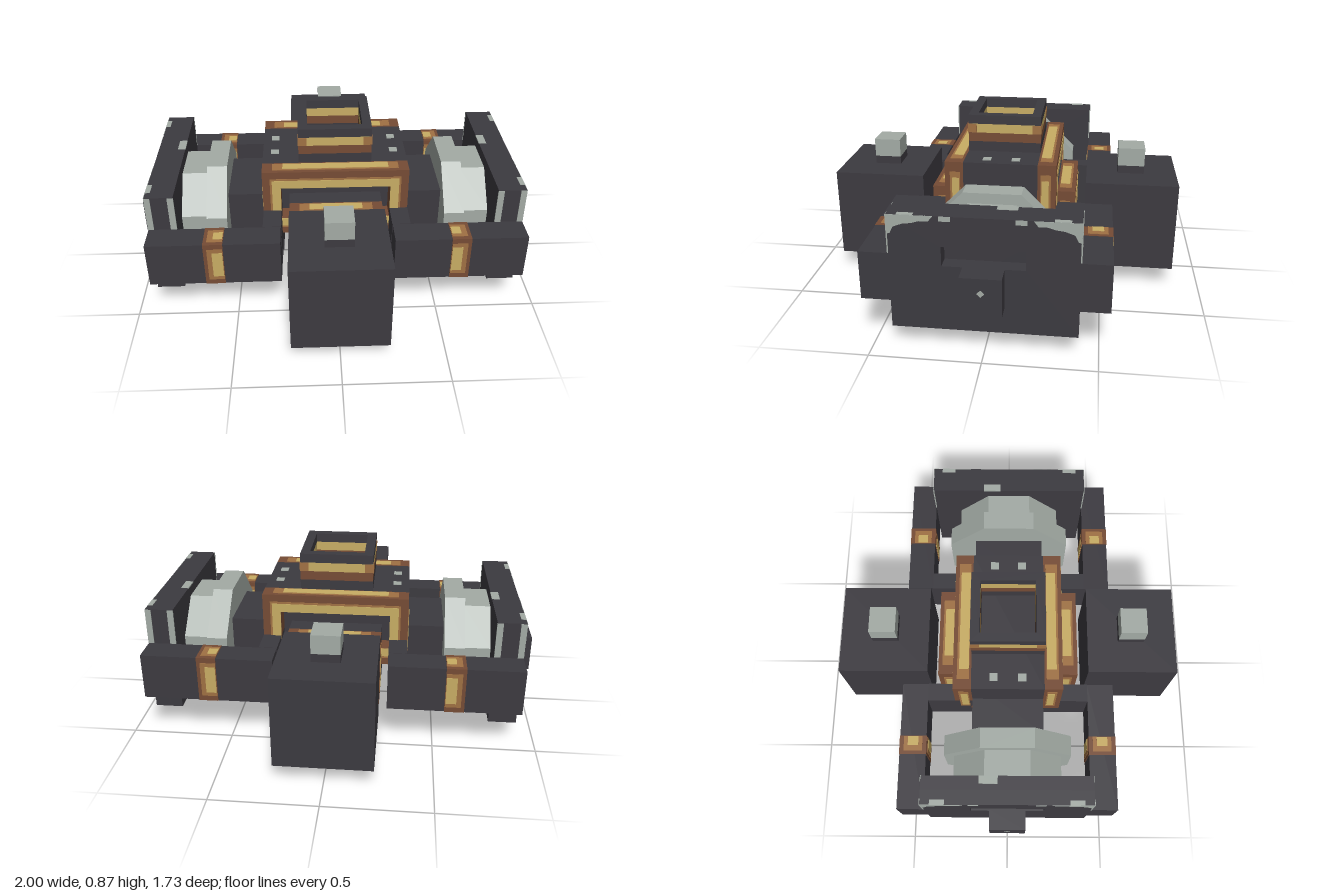
import * as THREE from 'three';

const mat = (name, color) => {
  const m = new THREE.MeshStandardMaterial({ color });
  m.name = name;
  return m;
};

export function createModel() {
  const dark = mat('dark iron', 0x3c3a40);
  const grey = mat('worn steel', 0xa3aba5);
  const brown = mat('brown copper', 0x764c35);
  const bronze = mat('bronze', 0xa07143);
  const gold = mat('brass', 0xc8ad64);

  const root = new THREE.Group();
  root.name = 'wheelTruck';

  const add = (parent, name, geo, m) => {
    const mesh = new THREE.Mesh(geo, m);
    mesh.name = name;
    parent.add(mesh);
    return mesh;
  };
  // box given by its lower and upper limits on each axis
  const box = (parent, name, m, x0, x1, y0, y1, z0, z1) => {
    const mesh = add(parent, name, new THREE.BoxGeometry(x1 - x0, y1 - y0, z1 - z0), m);
    mesh.position.set((x0 + x1) / 2, (y0 + y1) / 2, (z0 + z1) / 2);
    return mesh;
  };
  const rect = (Type, x0, x1, y0, y1) => new Type([
    [x0, y0], [x1, y0], [x1, y1], [x0, y1],
  ].map(([x, y]) => new THREE.Vector2(x, y)));
  // rectangular ring, wall t, extruded from z = 0 to depth
  const ring = (hw, hh, t, depth) => {
    const s = rect(THREE.Shape, -hw, hw, -hh, hh);
    s.holes.push(rect(THREE.Path, -hw + t, hw - t, -hh + t, hh - t));
    return new THREE.ExtrudeGeometry(s, { depth, bevelEnabled: false });
  };

  // central boiler and the firebox below it
  box(root, 'boiler', dark, -0.36, 0.36, 0.32, 0.68, -0.18, 0.18);
  box(root, 'firebox', dark, -0.23, 0.23, 0.14, 0.5, -0.27, 0.27);
  for (const x of [-0.3, 0.3]) for (const z of [-0.07, 0.07])
    box(root, 'rivet', grey, x - 0.02, x + 0.02, 0.68, 0.684, z - 0.02, z + 0.02);

  // copper end frame with brass inlay, centred on x = 0
  const endFrame = (parent, name, hw, cy, z) => {
    const g = new THREE.Group();
    g.name = name;
    g.position.set(0, cy, z);
    parent.add(g);
    add(g, 'copperFrame', ring(hw, 0.18, 0.09, 0.09), brown);
    add(g, 'bronzeInlay', ring(hw - 0.037, 0.143, 0.053, 0.003), bronze).position.z = 0.089;
    add(g, 'brassInlay', ring(hw - 0.047, 0.133, 0.043, 0.005), gold).position.z = 0.089;
    for (const s of [-1, 1]) {
      const y = s * 0.18;
      box(g, 'bronzeStrip', bronze, -hw + 0.05, hw - 0.05, y - 0.002, y + 0.002, 0.01, 0.07);
      box(g, 'brassStrip', gold, -hw + 0.1, hw - 0.1, y - 0.004, y + 0.004, 0.012, 0.06);
      const x = s * hw;
      box(g, 'sideStrip', bronze, x - 0.002, x + 0.002, -0.13, 0.13, 0.015, 0.065);
      box(g, 'sideBrass', gold, x - 0.004, x + 0.004, -0.1, 0.1, 0.02, 0.055);
    }
  };

  // front and back halves: end frames and buffer blocks
  for (const turn of [0, Math.PI]) {
    const end = new THREE.Group();
    end.name = turn ? 'backEnd' : 'frontEnd';
    end.rotation.y = turn;
    root.add(end);
    endFrame(end, 'boilerFrame', 0.36, 0.5, 0.18);
    endFrame(end, 'fireboxFrame', 0.23, 0.32, 0.27);
    box(end, 'bufferBlock', dark, -0.23, 0.23, 0.1, 0.55, 0.41, 0.863);
    box(end, 'capBase', dark, -0.067, 0.067, 0.55, 0.59, 0.567, 0.7);
    box(end, 'cap', grey, -0.067, 0.067, 0.59, 0.682, 0.567, 0.7);
  }

  // square open chimney in stacked bands
  const bands = [[0.68, 0.73, dark], [0.73, 0.775, brown], [0.775, 0.82, gold], [0.82, 0.865, dark]];
  for (const [y0, y1, m] of bands) {
    const b = add(root, 'chimneyBand', ring(0.18, 0.18, 0.045, y1 - y0), m);
    b.rotation.x = -Math.PI / 2;
    b.position.y = y0;
  }
  for (const x of [-0.161, 0.161]) for (const z of [-0.161, 0.161])
    box(root, 'chimneyCorner', bronze, x - 0.022, x + 0.022, 0.776, 0.819, z - 0.022, z + 0.022);

  // octagonal wheel disc with flat top and bottom
  const disc = (parent, name, r, x0, x1) => {
    const geo = new THREE.CylinderGeometry(r / Math.cos(Math.PI / 8), r / Math.cos(Math.PI / 8), x1 - x0, 8)
      .toNonIndexed();
    geo.rotateY(Math.PI / 8);
    geo.rotateZ(Math.PI / 2);
    geo.computeVertexNormals();
    add(parent, name, geo, grey).position.set((x0 + x1) / 2, 0.32, 0);
  };

  // worn corner patch on the outer face of a side panel (u along z, v up)
  const wear = [[0.41, 0.64], [0.41, 0.55], [0.395, 0.555], [0.38, 0.585], [0.34, 0.6],
    [0.3, 0.605], [0.27, 0.615], [0.23, 0.615], [0.21, 0.64]];

  // each side is built facing +x and turned for the other side
  for (const turn of [0, Math.PI]) {
    const side = new THREE.Group();
    side.name = turn ? 'rightSide' : 'leftSide';
    side.rotation.y = turn;
    root.add(side);

    box(side, 'axleHousing', dark, 0.27, 0.54, 0.14, 0.5, -0.18, 0.18);
    disc(side, 'wheelFlange', 0.32, 0.54, 0.64);
    disc(side, 'wheelTread', 0.27, 0.64, 0.77);
    box(side, 'innerBeam', dark, 0.27, 0.36, 0.23, 0.46, -0.41, 0.41);

    // outer panel with a slot above the axle end
    const s = rect(THREE.Shape, -0.41, 0.41, 0.1, 0.64);
    s.holes.push(rect(THREE.Path, -0.18, 0.18, 0.41, 0.5));
    const panel = new THREE.ExtrudeGeometry(s, { depth: 0.07, bevelEnabled: false });
    panel.rotateY(Math.PI / 2);
    add(side, 'sidePanel', panel, dark).position.x = 0.838;
    box(side, 'panelBack', dark, 0.772, 0.838, 0.1, 0.64, -0.41, 0.41);
    box(side, 'axleEnd', dark, 0.9, 1, 0.23, 0.41, -0.09, 0.09);
    const stud = box(side, 'axleStud', grey, 0.996, 1.001, 0.328, 0.352, -0.012, 0.012);
    stud.rotation.x = Math.PI / 4;

    for (const e of [-1, 1]) {
      // cross bar with its copper collar
      const z0 = e > 0 ? 0.41 : -0.543, z1 = z0 + 0.133;
      box(side, 'crossBar', dark, 0.272, 0.908, 0.23, 0.458, z0, z1);
      box(side, 'collar', brown, 0.543, 0.637, 0.228, 0.46, z0 - 0.002, z1 + 0.002);
      box(side, 'collarBronze', bronze, 0.545, 0.62, 0.255, 0.433, z0 - 0.004, z1 + 0.004);
      box(side, 'collarBrass', gold, 0.547, 0.597, 0.275, 0.413, z0 - 0.006, z1 + 0.006);
      box(side, 'collarTop', bronze, 0.545, 0.62, 0.226, 0.462, z0 + 0.02, z1 - 0.02);
      box(side, 'collarTopBrass', gold, 0.547, 0.592, 0.224, 0.464, z0 + 0.04, z1 - 0.04);

      // worn paint on panel corners and edges
      const w = new THREE.Shape(wear.map(([u, v]) => new THREE.Vector2(e * u, v)));
      const patch = new THREE.ExtrudeGeometry(w, { depth: 0.003, bevelEnabled: false });
      patch.rotateY(Math.PI / 2);
      add(side, 'wornCorner', patch, grey).position.x = 0.907;
      box(side, 'wornChip', grey, 0.907, 0.91, 0.618, 0.64, e * 0.16 - 0.025, e * 0.16 + 0.025);
      box(side, 'wornOuterEdge', grey, 0.88, 0.909, 0.46, 0.638, e * 0.41 - 0.003, e * 0.41 + 0.003);
      box(side, 'wornInnerEdge', grey, 0.77, 0.8, 0.46, 0.638, e * 0.41 - 0.003, e * 0.41 + 0.003);
      box(side, 'wornTopOuter', grey, 0.885, 0.909, 0.636, 0.642, e * 0.33 - 0.035, e * 0.33 + 0.035);
    }
    const c = turn ? 0.09 : -0.09;
    box(side, 'wornTopInner', grey, 0.771, 0.81, 0.636, 0.642, c - 0.045, c + 0.045);
  }
  return root;
}
